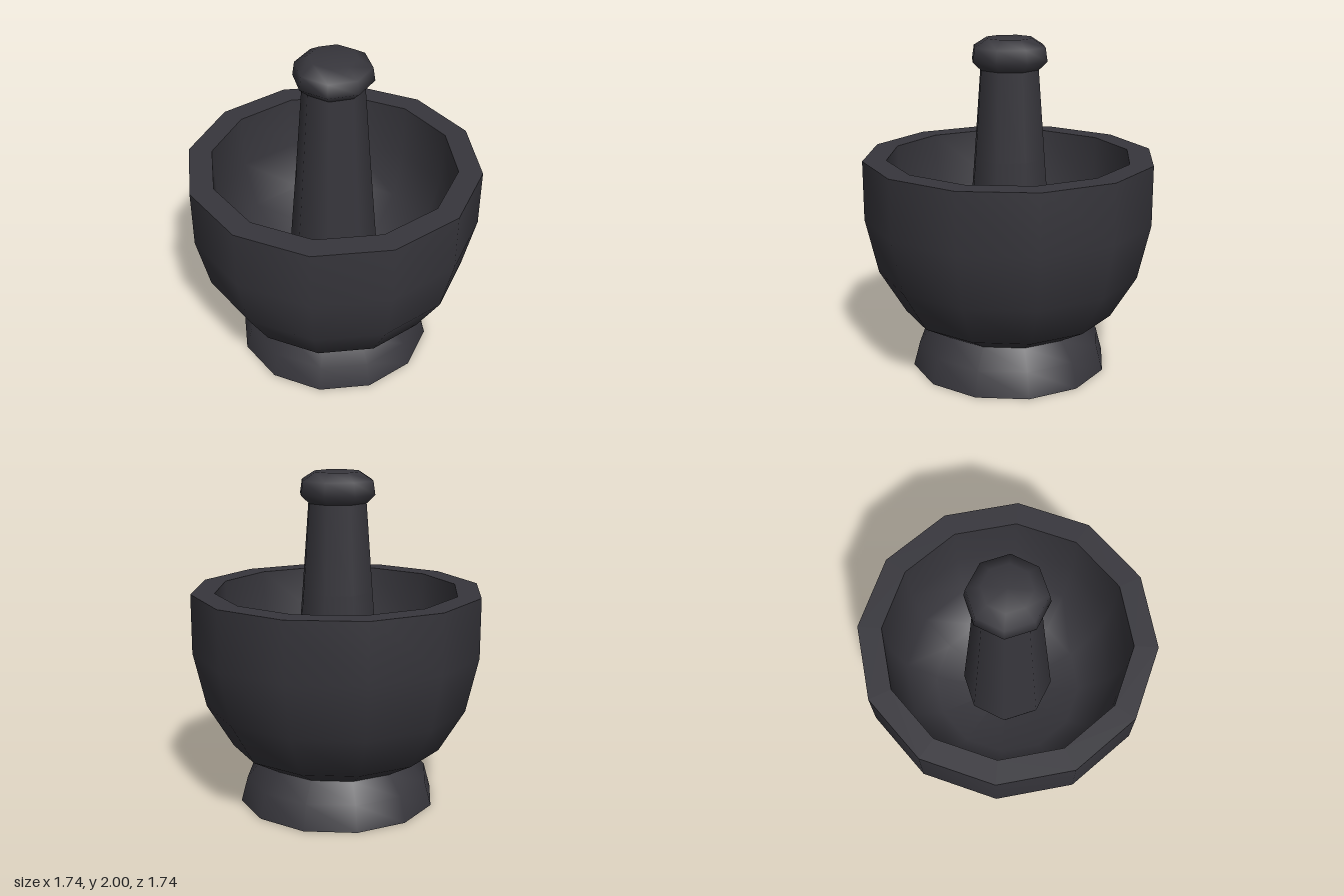
import * as THREE from 'three';

const stone = new THREE.MeshStandardMaterial({ color: 0x37363c });
stone.name = 'dark stone';

// Turned part from a profile of [radius, height] points
function turned(name, sides, profile) {
  const points = profile.map(([r, y]) => new THREE.Vector2(r, y));
  const mesh = new THREE.Mesh(new THREE.LatheGeometry(points, sides), stone);
  mesh.name = name;
  return mesh;
}

export function createModel() {
  const model = new THREE.Group();
  model.name = 'mortarAndPestle';

  // Twelve-sided mortar, split where its edges are sharp
  const mortar = new THREE.Group();
  mortar.name = 'mortar';
  mortar.add(
    turned('footBase', 12, [[0, 0], [0.6, 0]]),
    turned('foot', 12, [[0.6, 0], [0.56, 0.15], [0.465, 0.26]]),
    turned('bowlOutside', 12, [[0.465, 0.26], [0.64, 0.36], [0.795, 0.62], [0.87, 0.95], [0.87, 1.305]]),
    turned('rim', 12, [[0.87, 1.305], [0.73, 1.305]]),
    turned('bowlInside', 12, [[0.73, 1.305], [0.72, 0.97], [0.64, 0.68], [0.46, 0.47], [0, 0.4]])
  );

  // Eight-sided pestle standing in the bowl
  const pestle = new THREE.Group();
  pestle.name = 'pestle';
  pestle.add(
    turned('grindingEnd', 8, [[0, 0.41], [0.17, 0.43], [0.26, 0.49], [0.28, 0.56]]),
    turned('shaft', 8, [[0.28, 0.56], [0.22, 1.3], [0.18, 1.82]]),
    turned('knob', 8, [[0.18, 1.82], [0.232, 1.87], [0.22, 1.95], [0.14, 2], [0, 2]])
  );

  model.add(mortar, pestle);
  return model;
}
